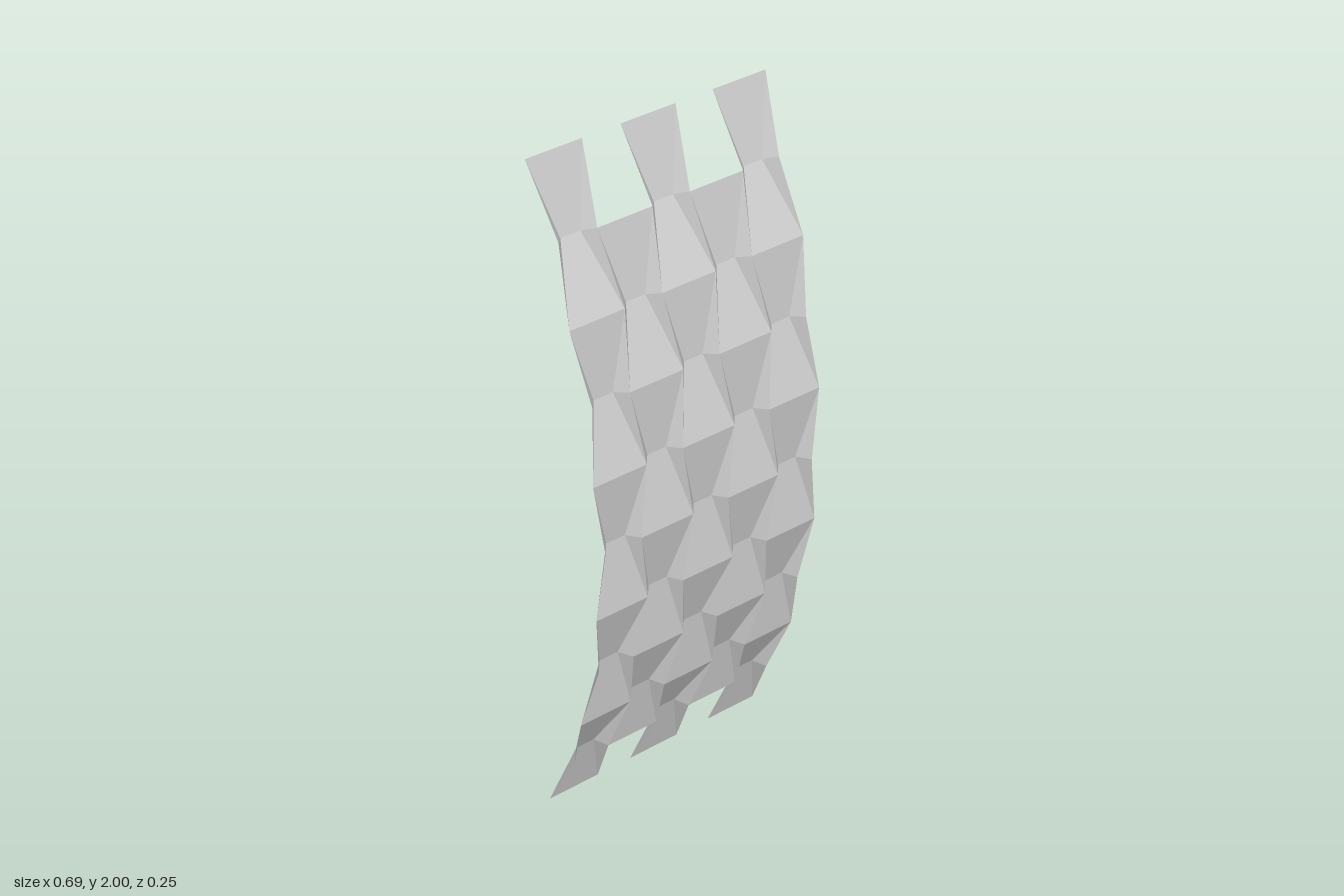
import * as THREE from 'three';

const R = 2.11;                       // radius of the arc the sheet bends along
const STEP = Math.asin(1 / R) / 5;    // angle between two fold levels
const LEVELS = 10;
const PITCH = 0.267;                  // spacing of the main columns
const WIDE = 0.079, NARROW = 0.028, DEPTH = 0.034;

// Point at x on a fold level; valley points sit DEPTH behind the arc
function point(x, level, valley) {
  const a = (level - LEVELS / 2) * STEP, r = valley ? R - DEPTH : R;
  return new THREE.Vector3(x, 1 + r * Math.sin(a), 0.126 - R + r * Math.cos(a));
}

// Add a triangle, turned so that it faces the front
function tri(out, a, b, c) {
  const facing = (b.x - a.x) * (c.y - a.y) - (b.y - a.y) * (c.x - a.x);
  for (const p of facing > 0 ? [a, b, c] : [a, c, b]) out.push(p.x, p.y, p.z);
}

function facets(name, positions, material) {
  const g = new THREE.BufferGeometry();
  g.setAttribute('position', new THREE.Float32BufferAttribute(positions, 3));
  g.computeVertexNormals();
  const mesh = new THREE.Mesh(g, material);
  mesh.name = name;
  return mesh;
}

// Column of trapezoids, wide at levels first, first + 2, ... and narrow between
function column(cx, first, last) {
  const out = [];
  const corner = (side, i) => {
    const valley = (i - first) % 2 === 1;
    return point(cx + side * (valley ? NARROW : WIDE), i, valley);
  };
  for (let i = first; i < last; i++) {
    const a = corner(-1, i), b = corner(1, i), c = corner(1, i + 1), d = corner(-1, i + 1);
    tri(out, a, b, c);
    tri(out, a, c, d);
  }
  return out;
}

// Folded triangles from one side of a main column to the column beside it
function foldStrip(cx, side, outer) {
  const out = [], half = PITCH / 2;
  const mainWide = i => point(cx + side * WIDE, i, false);
  const nextWide = i => point(cx + side * (half - WIDE), i, false);
  for (let i = 1; i < LEVELS; i += 2) {
    const valley = point(cx + side * NARROW, i, true);
    for (const d of [-1, 1]) tri(out, valley, nextWide(i), mainWide(i + d));
  }
  // the free outer edges stop at the first row of triangles
  if (!outer) for (let i = 2; i < LEVELS; i += 2) {
    const valley = point(cx + side * (half - NARROW), i, true);
    for (const d of [-1, 1]) tri(out, mainWide(i), valley, nextWide(i + d));
  }
  return out;
}

export function createModel() {
  const group = new THREE.Group();
  group.name = 'foldedSheet';
  const material = new THREE.MeshStandardMaterial({
    color: 0xcccccc, flatShading: true, side: THREE.DoubleSide,
  });

  // Three long columns with their side folds
  for (const k of [-1, 0, 1]) {
    group.add(facets('mainColumn', column(k * PITCH, 0, LEVELS), material));
    for (const side of [-1, 1]) {
      group.add(facets('foldStrip', foldStrip(k * PITCH, side, k === side), material));
    }
  }
  // Two shorter columns, shifted by one level
  for (const k of [-0.5, 0.5]) {
    group.add(facets('innerColumn', column(k * PITCH, 1, LEVELS - 1), material));
  }
  return group;
}
